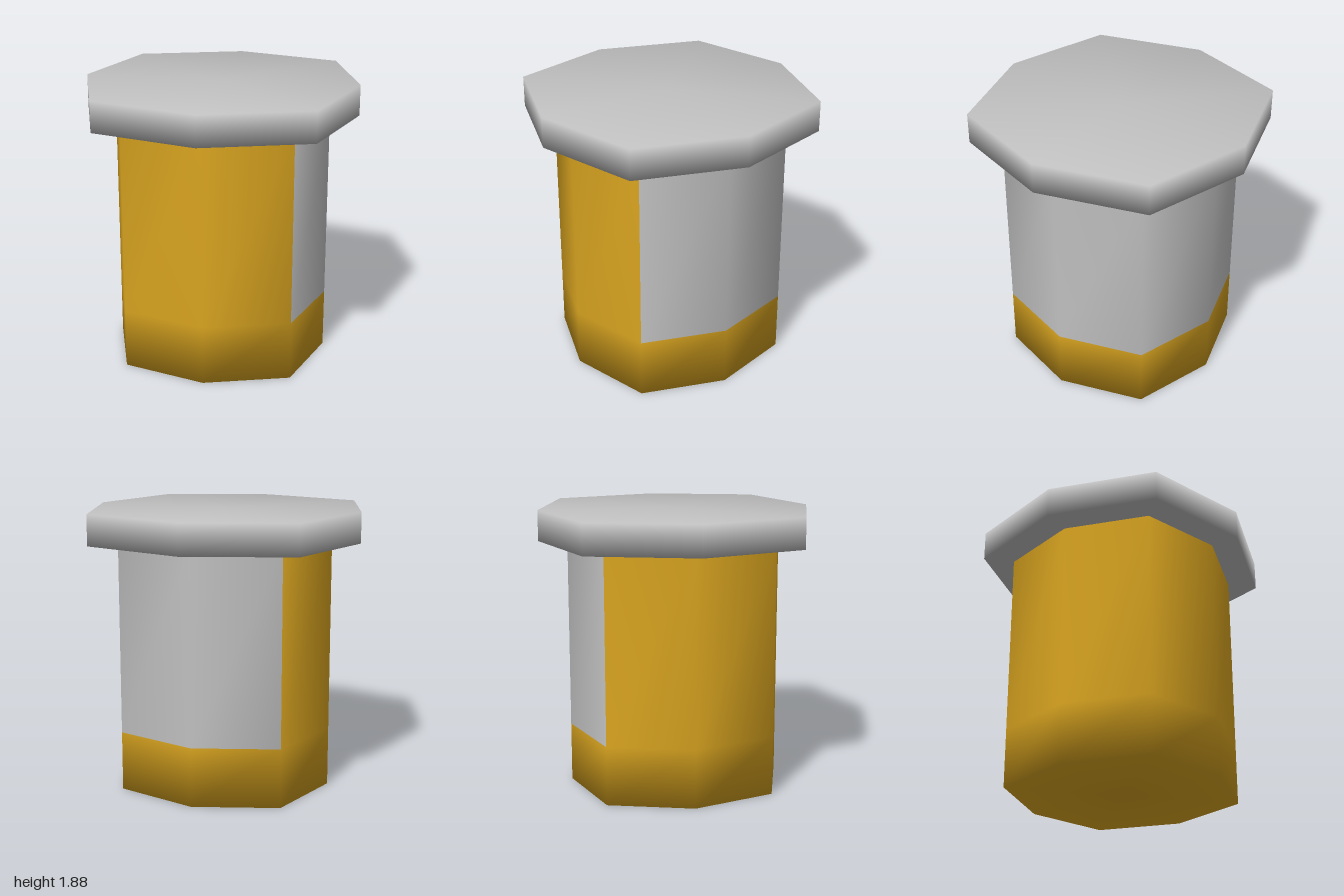
import * as THREE from 'three';

const SIDES = 8;

// Octagon corner: full radius on the axes, slightly pulled in on the diagonals
function corner(i, r, y) {
  const a = (i % SIDES) * Math.PI * 2 / SIDES;
  const k = i % 2 ? r * 0.922 : r;
  return [Math.sin(a) * k, y, Math.cos(a) * k];
}

// Smooth-shaded octagonal solid from [radius, y] rings, closed at any zero-radius ring.
// pick(band, side) gives the material index of each face.
function octagonSolid(rings, pick) {
  const positions = [];
  for (const [r, y] of rings)
    for (let i = 0; i < SIDES; i++) positions.push(...corner(i, r, y));

  const faces = [[], []];
  for (let b = 0; b < rings.length - 1; b++) {
    for (let i = 0; i < SIDES; i++) {
      const j = (i + 1) % SIDES;
      const p = b * SIDES + i, q = b * SIDES + j;
      const s = p + SIDES, t = q + SIDES;
      const list = faces[pick(b, i)];
      if (rings[b][0] > 0) list.push(p, q, t);
      if (rings[b + 1][0] > 0) list.push(p, t, s);
      else list[list.length - 1] = s;
    }
  }

  const geometry = new THREE.BufferGeometry();
  geometry.setAttribute('position', new THREE.Float32BufferAttribute(positions, 3));
  geometry.setIndex([...faces[0], ...faces[1]]);
  geometry.addGroup(0, faces[0].length, 0);
  geometry.addGroup(faces[0].length, faces[1].length, 1);
  geometry.computeVertexNormals();
  return geometry;
}

export function createModel() {
  const silver = new THREE.MeshStandardMaterial({ color: 0xc0c0c0 });
  silver.name = 'silver';
  const gold = new THREE.MeshStandardMaterial({ color: 0xdaa520 });
  gold.name = 'gold';

  const group = new THREE.Group();
  group.name = 'cappedPost';

  // Shaft: gold, with a silver panel above the base on the +x half
  const shaftRings = [[0, 0], [0.79, 0], [0.79, 0.4], [0.79, 1.68]];
  const shaft = new THREE.Mesh(
    octagonSolid(shaftRings, (band, side) => (band === 2 && side < SIDES / 2 ? 0 : 1)),
    [silver, gold]
  );
  shaft.name = 'shaft';

  // Cap: wider slab on top
  const capRings = [[0, 1.675], [1, 1.675], [1, 1.88], [0, 1.88]];
  const cap = new THREE.Mesh(octagonSolid(capRings, () => 0), [silver, gold]);
  cap.name = 'cap';

  group.add(shaft, cap);
  return group;
}
